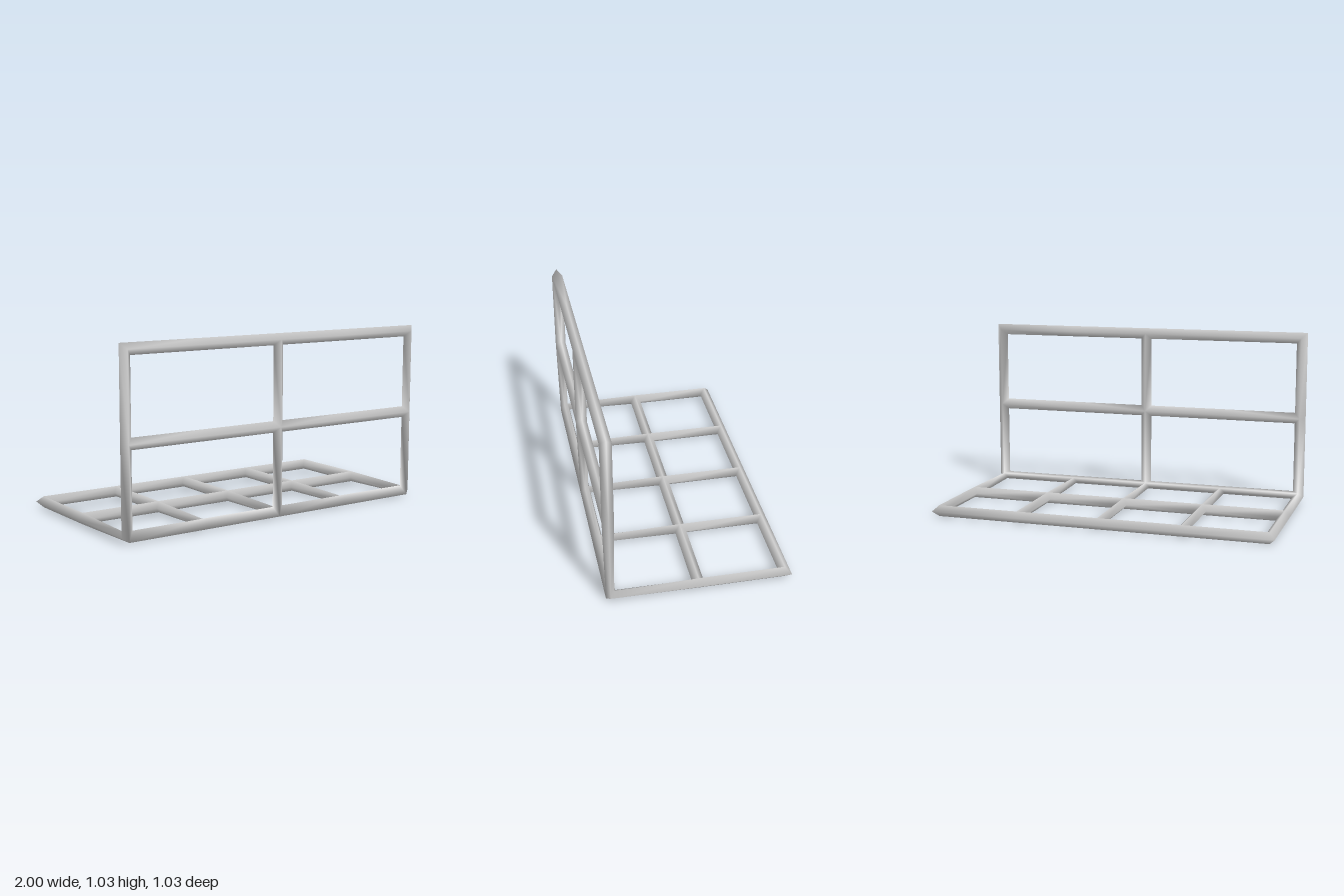
import * as THREE from 'three';
import { mergeVertices } from 'three/addons/utils/BufferGeometryUtils.js';

const R = 0.0325;             // half thickness of the diamond-section bars
const X = 1 - R;              // side bar centre lines
const FOLD_Y = R, FOLD_Z = 0.4825;
const DEPTH = 0.9675, HEIGHT = 0.97;
const COLUMNS = [-X, -X / 2, 0, X / 2, X];

// u runs along x, v runs away from the shared fold rail
const panels = [
  { name: 'floorGrid', size: DEPTH, turn: 1, normal: [0, 1, 0],
    at: (u, v) => [u, FOLD_Y, FOLD_Z - v], bays: [[0, 1], [1, 2], [2, 3], [3, 4]] },
  { name: 'uprightGrid', size: HEIGHT, turn: -1, normal: [0, 0, -1],
    at: (u, v) => [u, FOLD_Y + v, FOLD_Z], bays: [[0, 2], [2, 4]] },
];

export function createModel() {
  const positions = [];

  // Half of a bar: bevels from the ridges on both faces to an edge shifted by (du, dv)
  function addStrip(panel, points, closed) {
    const ridge = ([u, v], s) => {
      const n = v === 0 ? [0, Math.SQRT1_2, -Math.SQRT1_2] : panel.normal;
      return panel.at(u, v).map((c, i) => c + s * R * n[i]);
    };
    const edge = ([u, v, du, dv]) => panel.at(u + du * R, v + dv * R);
    const count = closed ? points.length : points.length - 1;
    for (let i = 0; i < count; i++) {
      const p = points[i], q = points[(i + 1) % points.length];
      for (const s of [1, -1]) {
        const a = ridge(p, s), b = ridge(q, s), c = edge(q), d = edge(p);
        const quad = s * panel.turn > 0 ? [a, b, c, a, c, d] : [a, c, b, a, d, c];
        positions.push(...quad.flat());
      }
    }
  }

  const ranges = panels.map((panel) => {
    const start = positions.length / 3;
    const rows = [0, panel.size / 2, panel.size];

    // Inner side of the bars around every opening
    for (const [c0, c1] of panel.bays) {
      const us = COLUMNS.slice(c0, c1 + 1);
      const shift = (i) => (i === 0 ? 1 : i === us.length - 1 ? -1 : 0);
      for (let r = 0; r < 2; r++) {
        const low = us.map((u, i) => [u, rows[r], shift(i), 1]);
        const high = us.map((u, i) => [u, rows[r + 1], shift(i), -1]).reverse();
        addStrip(panel, [...low, ...high], true);
      }
    }

    // Outer side of the bars around the three free edges
    const far = COLUMNS.map((u) => [u, panel.size, Math.abs(u) === X ? Math.sign(u) : 0, 1]);
    addStrip(panel, [
      [-X, 0, -1, 0], [-X, rows[1], -1, 0], ...far, [X, rows[1], 1, 0], [X, 0, 1, 0],
    ], false);
    return [start, positions.length / 3];
  });

  // Smooth normals are shared by both panels along the fold
  const raw = new THREE.BufferGeometry();
  raw.setAttribute('position', new THREE.Float32BufferAttribute(positions, 3));
  const whole = mergeVertices(raw, 1e-4);
  whole.computeVertexNormals();
  const index = Array.from(whole.index.array);

  const material = new THREE.MeshStandardMaterial({ color: 0xcccccc });
  const group = new THREE.Group();
  group.name = 'foldedGridFrame';
  panels.forEach((panel, i) => {
    const part = whole.clone();
    part.setIndex(index.slice(...ranges[i]));
    const mesh = new THREE.Mesh(part.toNonIndexed(), material);
    mesh.name = panel.name;
    group.add(mesh);
  });
  return group;
}
